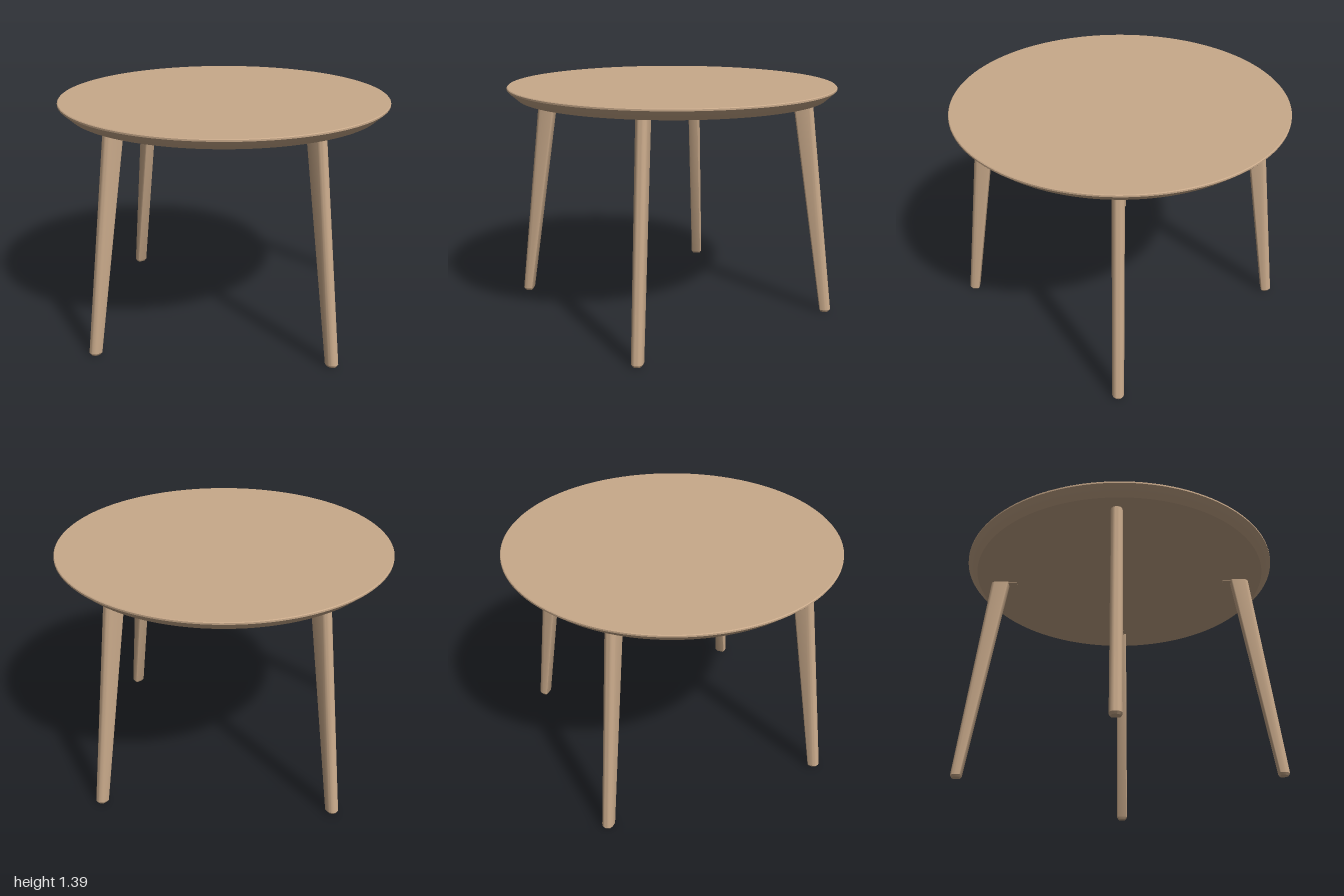
import * as THREE from 'three';
import { toCreasedNormals } from 'three/addons/utils/BufferGeometryUtils.js';

// Leg cross-section: round on the outside, flat with eased corners on the inside
function legSection(outer, inner, r, c, y) {
  const pts = [];
  const arc = (cx, cz, rad, from, to, steps) => {
    for (let i = 0; i <= steps; i++) {
      const a = THREE.MathUtils.degToRad(from + (to - from) * i / steps);
      pts.push([cx + rad * Math.cos(a), y, cz + rad * Math.sin(a)]);
    }
  };
  arc(outer - r, 0, r, -90, 90, 14);
  arc(inner + c, r - c, c, 90, 180, 5);
  arc(inner + c, c - r, c, 180, 270, 5);
  return pts;
}

// Skin a stack of sections, closing the bottom with a fan
function loft(rows) {
  const n = rows[0].length;
  const pos = rows.flat(2);
  const index = [];
  for (let j = 0; j < rows.length - 1; j++) {
    for (let i = 0; i < n; i++) {
      const a = j * n + i, b = j * n + (i + 1) % n;
      index.push(a, a + n, b, b, a + n, b + n);
    }
  }
  for (let i = 1; i < n - 1; i++) index.push(0, i, i + 1);
  const geo = new THREE.BufferGeometry();
  geo.setAttribute('position', new THREE.Float32BufferAttribute(pos, 3));
  geo.setIndex(index);
  return toCreasedNormals(geo, 0.5);
}

export function createModel() {
  const wood = new THREE.MeshStandardMaterial({ color: 0xc8a98a });
  wood.name = 'wood';
  const table = new THREE.Group();
  table.name = 'roundTable';

  // Round top with a thin rim and an undercut bevel
  const profile = [
    [0, 1.32], [0.917, 1.32], [0.968, 1.365], [0.976, 1.374],
    [0.976, 1.383], [0.972, 1.387], [0, 1.387],
  ].map(([x, y]) => new THREE.Vector2(x, y));
  const top = new THREE.Mesh(toCreasedNormals(new THREE.LatheGeometry(profile, 128), 0.4), wood);
  top.name = 'tableTop';
  table.add(top);

  // Four splayed, tapering legs, each with a small mounting plate
  const legGeo = loft([
    legSection(0.99, 0.942, 0.025, 0.006, 0),
    legSection(0.999, 0.934, 0.034, 0.01, 0.014),
    legSection(0.836, 0.722, 0.034, 0.01, 1.325),
  ]);
  const plateGeo = new THREE.BoxGeometry(0.09, 0.008, 0.036);
  for (let i = 0; i < 4; i++) {
    const unit = new THREE.Group();
    unit.name = 'legUnit' + (i + 1);
    const leg = new THREE.Mesh(legGeo, wood);
    leg.name = 'leg';
    const plate = new THREE.Mesh(plateGeo, wood);
    plate.name = 'mountingPlate';
    plate.position.set(0.715, 1.32, 0);
    unit.add(leg, plate);
    unit.rotation.y = i * Math.PI / 2;
    table.add(unit);
  }
  return table;
}
